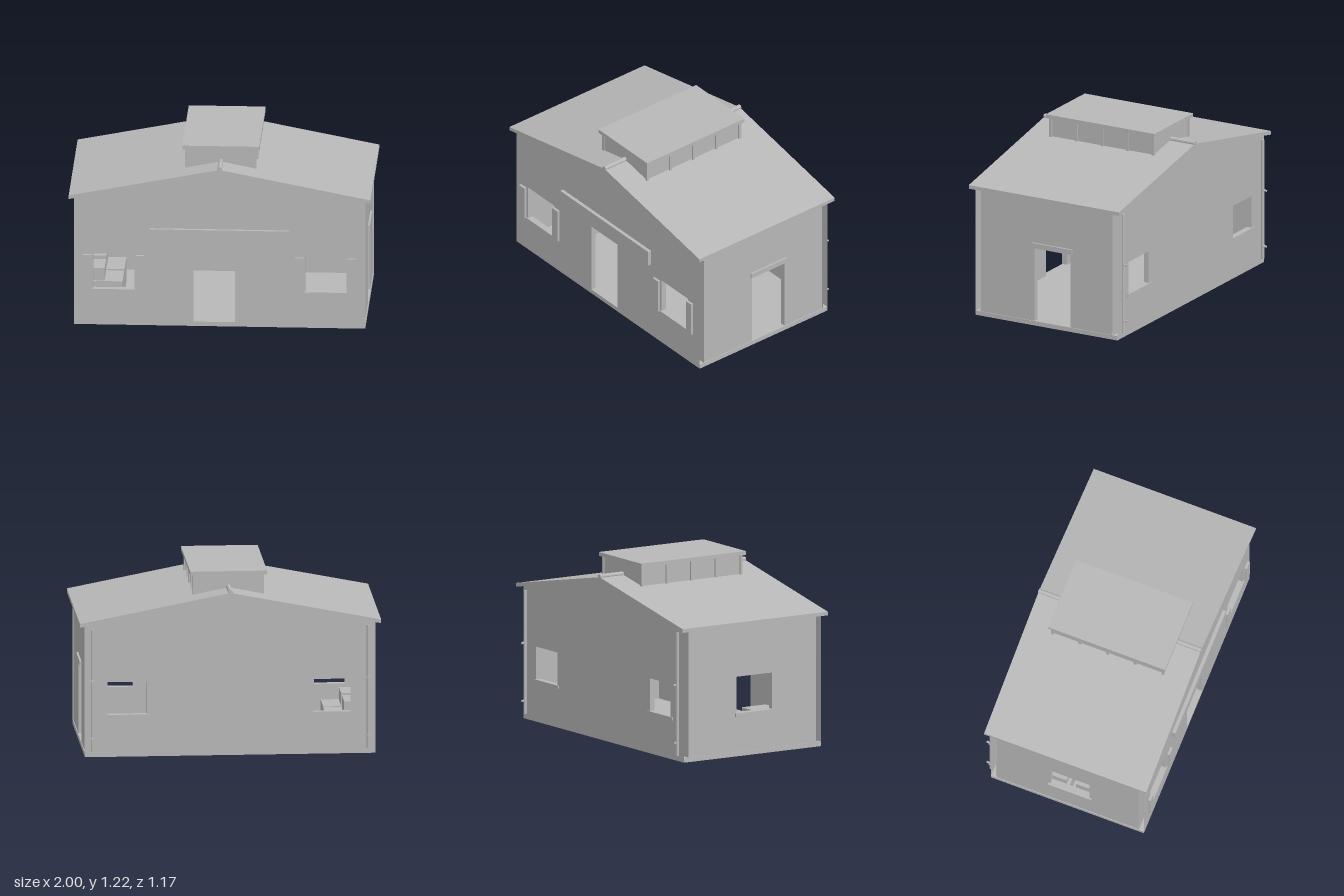
import * as THREE from 'three';

export function createModel() {
  const model = new THREE.Group();
  const grey = new THREE.MeshStandardMaterial({ color: 0xb8b8b8, side: THREE.DoubleSide, flatShading: true });
  grey.name = 'plain grey';

  function add(name, geometry, parent = model) {
    const mesh = new THREE.Mesh(geometry, grey);
    mesh.name = name;
    parent.add(mesh);
    return mesh;
  }

  // Box given by its two extremes on each axis
  function box(name, x0, x1, y0, y1, z0, z1) {
    const mesh = add(name, new THREE.BoxGeometry(x1 - x0, y1 - y0, z1 - z0));
    mesh.position.set((x0 + x1) / 2, (y0 + y1) / 2, (z0 + z1) / 2);
    return mesh;
  }

  function outline(points) {
    return new THREE.Shape(points.map(([x, y]) => new THREE.Vector2(x, y)));
  }

  // Hollow wall: outer and inner sheets, joined by reveals around each opening [x0, x1, y0, y1]
  function wall(name, points, openings, thickness = 0.036) {
    const group = new THREE.Group();
    group.name = name;
    const shape = outline(points);
    for (const [x0, x1, y0, y1] of openings) {
      const hole = new THREE.Path();
      hole.moveTo(x0, y0).lineTo(x0, y1).lineTo(x1, y1).lineTo(x1, y0).closePath();
      shape.holes.push(hole);
      for (const x of [x0, x1]) {
        const jamb = add('jamb', new THREE.PlaneGeometry(thickness, y1 - y0), group);
        jamb.rotation.y = x === x0 ? Math.PI / 2 : -Math.PI / 2;
        jamb.position.set(x, (y0 + y1) / 2, -thickness / 2);
      }
      for (const y of [y0, y1]) {
        const reveal = add('reveal', new THREE.PlaneGeometry(x1 - x0, thickness), group);
        reveal.rotation.x = y === y0 ? -Math.PI / 2 : Math.PI / 2;
        reveal.position.set((x0 + x1) / 2, y, -thickness / 2);
      }
    }
    add('outerSheet', new THREE.ShapeGeometry(shape), group);
    add('innerSheet', new THREE.ShapeGeometry(shape), group).position.z = -thickness;
    model.add(group);
    return group;
  }

  // Floor slab
  box('floor', -0.965, 0.965, 0, 0.03, -0.535, 0.55);

  // Gable walls
  const gable = [[-0.965, 0], [0.965, 0], [0.965, 0.892], [0, 1.077], [-0.965, 0.892]];
  wall('frontWall', gable, [
    [-0.84, -0.565, 0.25, 0.495], [0.565, 0.84, 0.25, 0.495], [-0.175, 0.1, 0.03, 0.535],
  ]).position.z = 0.551;
  const back = wall('backWall', gable, [[-0.815, -0.555, 0.285, 0.505], [0.555, 0.8, 0.285, 0.505]]);
  back.rotation.y = Math.PI;
  back.position.z = -0.536;

  // Side walls: door on the left side, window on the right side
  const right = wall('doorSideWall', [[-0.513, 0.0], [0.493, 0.0], [0.493, 0.893], [-0.513, 0.893]],
    [[-0.1, 0.175, 0.03, 0.535]]);
  right.rotation.y = Math.PI / 2;
  right.position.x = 0.96;
  const left = wall('windowSideWall', [[-0.493, 0.0], [0.513, 0.0], [0.513, 0.893], [-0.493, 0.893]],
    [[-0.115, 0.165, 0.29, 0.535]]);
  left.rotation.y = -Math.PI / 2;
  left.position.x = -0.96;
  box('doorLintel', 0.955, 0.973, 0.54, 0.575, -0.19, 0.115);
  box('sideWindowSill', -0.973, -0.955, 0.268, 0.29, -0.13, 0.18);

  // Window sills and open shutters
  for (const s of [-1, 1]) {
    const x = 0.703 * s;
    box('frontSill', x - 0.148, x + 0.148, 0.23, 0.25, 0.545, 0.559);
    box('backSill', 0.685 * s - 0.15, 0.685 * s + 0.15, 0.265, 0.285, -0.545, -0.53);
    for (const side of [-1, 1]) {
      const cx = x + side * 0.174;
      box('shutter', cx - 0.028, cx + 0.028, 0.25, 0.492, 0.559, 0.576);
    }
  }

  // Blank board over the front door
  box('frontBoard', -0.465, 0.46, 0.572, 0.68, 0.557, 0.581);

  // Pitched roof and round ridge cap
  const roof = outline([
    [-1, 0.883], [0, 1.077], [1, 0.883], [1, 0.908], [0, 1.103], [-1, 0.908],
  ]);
  add('roof', new THREE.ExtrudeGeometry(roof, { depth: 1.152, bevelEnabled: false })).position.z = -0.57;
  const ridge = add('ridgeCap', new THREE.CylinderGeometry(0.016, 0.016, 1.156, 12));
  ridge.rotation.x = Math.PI / 2;
  ridge.position.set(0, 1.107, 0.006);

  // Roof monitor with posts along both sides
  box('monitorBody', -0.225, 0.225, 1.04, 1.19, -0.385, 0.405);
  box('monitorRoof', -0.255, 0.255, 1.19, 1.216, -0.406, 0.425);
  for (const s of [-1, 1]) {
    for (let i = 0; i < 5; i++) {
      const z = 0.401 - i * 0.196;
      box('monitorPost', s * 0.228 - 0.009, s * 0.228 + 0.009, 1.04, 1.19, z - 0.009, z + 0.009);
    }
  }

  // Rear downpipes with brackets
  for (const s of [-1, 1]) {
    const x = 0.915 * s;
    add('downpipe', new THREE.CylinderGeometry(0.011, 0.011, 0.83, 10)).position.set(x, 0.455, -0.554);
    for (const y of [0.127, 0.516]) {
      const bracket = add('pipeBracket', new THREE.CylinderGeometry(0.007, 0.007, 0.03, 8));
      bracket.rotation.x = Math.PI / 2;
      bracket.position.set(x, y, -0.57);
      box('bracketBand', x - 0.014, x + 0.014, y - 0.007, y + 0.007, -0.568, -0.556);
    }
  }

  // Stepped storage blocks against the inside of the window side wall
  box('lowBlock', -0.9, -0.66, 0.03, 0.2, 0.025, 0.25);
  box('highBlock', -0.9, -0.78, 0.2, 0.285, 0.045, 0.235);
  box('lowBlock', -0.9, -0.66, 0.03, 0.2, -0.25, -0.003);
  box('highBlock', -0.9, -0.78, 0.2, 0.285, -0.235, -0.025);

  return model;
}
